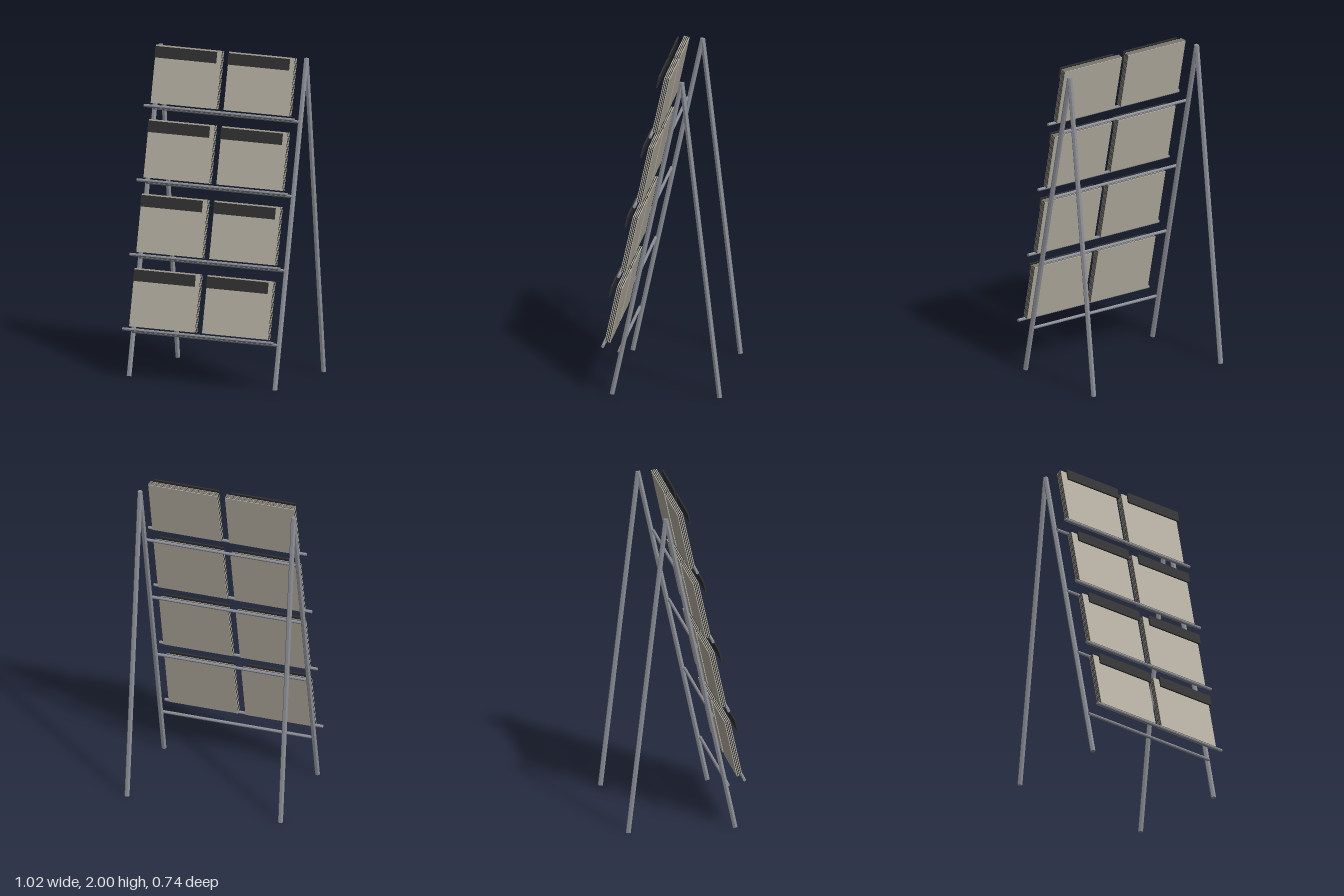
import * as THREE from 'three';

export function createModel() {
  const root = new THREE.Group();
  root.name = 'displayRack';
  const mat = (name, color, flat = false) => {
    const m = new THREE.MeshStandardMaterial({ color, flatShading: flat });
    m.name = name;
    return m;
  };
  const metal = mat('grey metal', 0x8c8f97, true);
  const beige = mat('beige cover', 0xb9b3a5);
  const dark = mat('dark trim', 0x313131);

  // round bar between two points
  function bar(name, a, b, r, sides) {
    const dir = b.clone().sub(a);
    const geo = new THREE.CylinderGeometry(r, r, dir.length(), sides);
    geo.rotateY(Math.PI / 2);
    const mesh = new THREE.Mesh(geo, metal);
    mesh.position.copy(a).add(b).multiplyScalar(0.5);
    mesh.quaternion.setFromUnitVectors(new THREE.Vector3(0, 1, 0), dir.normalize());
    mesh.name = name;
    root.add(mesh);
  }

  // A-frame legs on both sides
  for (const s of [-1, 1]) {
    const x = s * 0.495;
    const side = s > 0 ? 'left' : 'right';
    const apex = new THREE.Vector3(x, 1.98, -0.122);
    bar(side + 'FrontLeg', new THREE.Vector3(x, 0.003, 0.305), apex, 0.016, 6);
    bar(side + 'RearLeg', new THREE.Vector3(x, 0.003, -0.353), apex, 0.016, 6);
  }

  const tilt = -Math.atan2(0.0967, 0.4433);
  const box = (name, w, h, d, x, z, material, parent) => {
    const mesh = new THREE.Mesh(new THREE.BoxGeometry(w, h, d), material);
    mesh.position.set(x, 0, z);
    mesh.name = name;
    parent.add(mesh);
  };

  // four leaning rows, each with two rails and two stacks
  for (let i = 0; i < 4; i++) {
    const dy = i * 0.4433, dz = -i * 0.0967;
    const rail = (name, half, y, z) => bar(name,
      new THREE.Vector3(-half, y + dy, z + dz), new THREE.Vector3(half, y + dy, z + dz), 0.01, 8);
    rail('frontRail', 0.51, 0.304, 0.36);
    rail('backRail', 0.495, 0.273, 0.262);

    for (const s of [-1, 1]) {
      const x = s * 0.2475;
      // stack of alternating light and dark layers, light covers outside
      const stack = new THREE.Group();
      stack.name = 'magazineStack';
      stack.position.set(x, 0.4925 + dy, 0.299 + dz);
      stack.rotation.x = tilt;
      const layers = 7, t = 0.035 / layers;
      for (let k = 0; k < layers; k++) {
        box(k % 2 ? 'darkLayer' : 'coverLayer', 0.445, 0.356, t, 0,
          (k - (layers - 1) / 2) * t, k % 2 ? dark : beige, stack);
      }
      root.add(stack);

      // label strip standing in front of the stack
      const label = new THREE.Group();
      label.name = 'labelStrip';
      label.position.set(x, 0.634 + dy, 0.32 + dz);
      label.rotation.x = tilt;
      box('labelPlate', 0.415, 0.07, 0.009, 0, 0, dark, label);
      root.add(label);
    }
  }
  return root;
}
